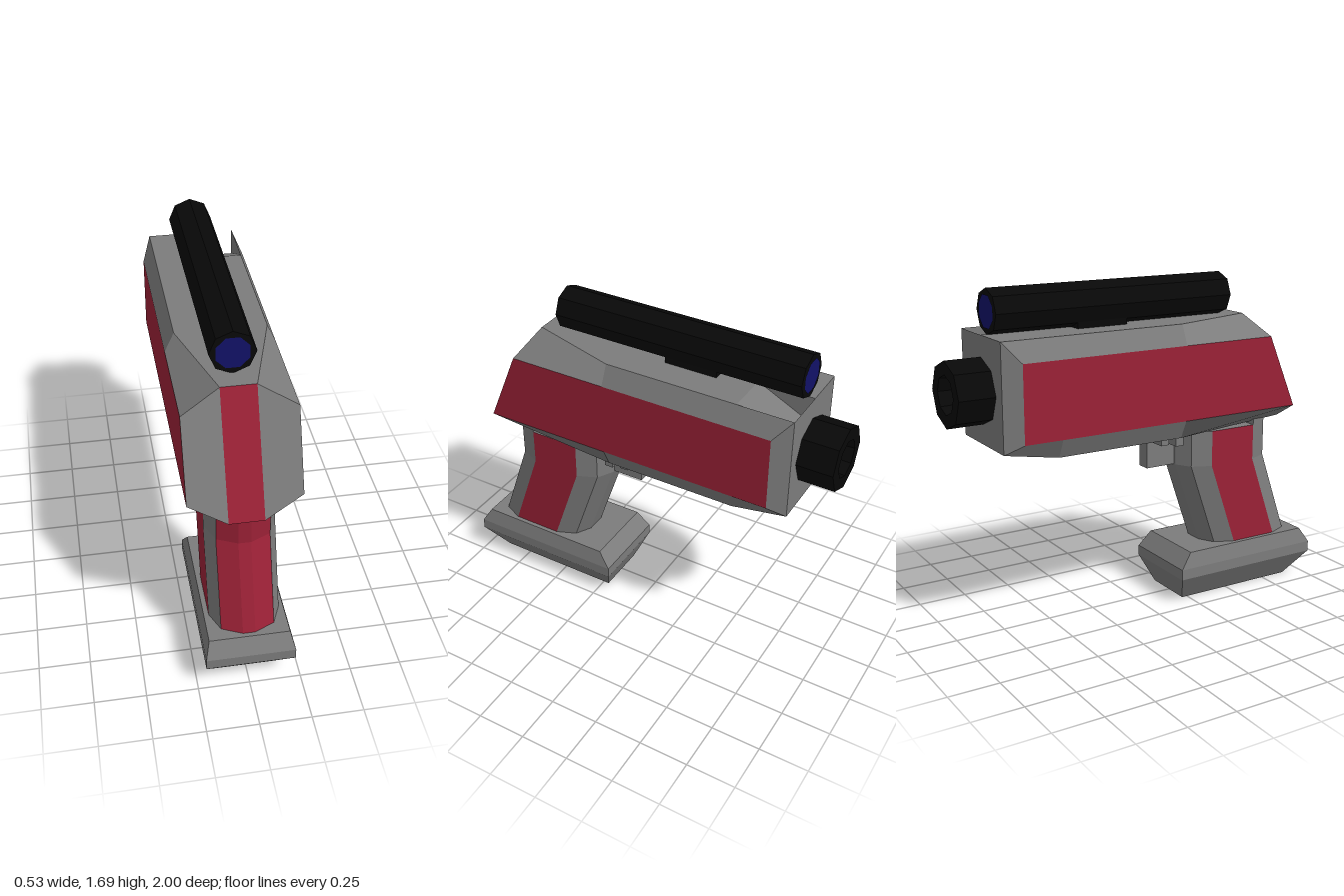
import * as THREE from 'three';

const mat = (color, flatShading = false) => new THREE.MeshStandardMaterial({ color, flatShading });

// Mesh from convex polygons with one normal each, turned to face away from the given centre
function facets(name, polys, material, center) {
  const pos = [], nor = [], c = new THREE.Vector3(...center);
  for (const poly of polys) {
    let p = poly.map((a) => new THREE.Vector3(...a));
    const n = new THREE.Vector3(), mid = new THREE.Vector3();
    p.forEach((v, i) => {
      mid.addScaledVector(v, 1 / p.length);
      n.add(v.clone().sub(p[0]).cross(p[(i + 1) % p.length].clone().sub(p[0])));
    });
    n.normalize();
    if (n.dot(mid.sub(c)) < 0) {
      n.negate();
      p = [p[0], ...p.slice(1).reverse()];
    }
    for (let i = 1; i < p.length - 1; i++) {
      for (const v of [p[0], p[i], p[i + 1]]) {
        pos.push(v.x, v.y, v.z);
        nor.push(n.x, n.y, n.z);
      }
    }
  }
  const g = new THREE.BufferGeometry();
  g.setAttribute('position', new THREE.Float32BufferAttribute(pos, 3));
  g.setAttribute('normal', new THREE.Float32BufferAttribute(nor, 3));
  const m = new THREE.Mesh(g, material);
  m.name = name;
  return m;
}

const flip = (p) => [-p[0], p[1], p[2]];
const both = (polys) => [...polys, ...polys.map((q) => q.map(flip))];
const across = (a, b) => [a, b, flip(b), flip(a)];

export function createModel() {
  const group = new THREE.Group();
  const grey = mat(0x7c7c7c), red = mat(0x9b2136), black = mat(0x080808, true), blue = mat(0x121268, true);

  const add = (name, geo, material, x, y, z) => {
    const m = new THREE.Mesh(geo, material);
    m.name = name;
    m.position.set(x, y, z);
    group.add(m);
  };

  // Body: half sections from rear to muzzle (top, upper side, lower side, bottom)
  const S = [
    [[0.083, 1.475, 0.6], [0.265, 1.375, 0.65], [0.265, 1, 0.81], [0.083, 0.905, 0.85]],
    [[0.22, 1.475, 0.14], [0.265, 1.375, 0.14], [0.265, 1, 0.14], [0.22, 0.905, 0.14]],
    [[0.22, 1.475, -0.54], [0.265, 1.375, -0.54], [0.265, 1, -0.54], [0.22, 0.905, -0.54]],
    [[0.22, 1.475, -0.82], [0.265, 1.375, -0.735], [0.265, 1, -0.735], [0.22, 0.955, -0.82]],
  ];
  const shell = [], sides = [], spans = [];
  for (let i = 0; i < 3; i++) {
    const a = S[i], b = S[i + 1];
    shell.push([a[0], a[1], b[1], b[0]], [a[2], a[3], b[3], b[2]]);
    sides.push([a[1], a[2], b[2], b[1]]);
    spans.push(across(a[3], b[3]));
    if (i < 2) spans.push(across(a[0], b[0]));
  }
  shell.push(S[0], S[3]);
  spans.push(across(S[3][0], S[3][3]));
  // Top front: flat on the right half, sloping port floor on the left half
  const topStrip = (x0, x1, y) => [[x0, 1.475, -0.54], [x1, 1.475, -0.54], [x1, y, -0.82], [x0, y, -0.82]];
  spans.push(topStrip(-0.22, 0, 1.475), topStrip(0, 0.22, 1.335));
  const mid = [0, 1.2, 0];
  group.add(facets('bodyShell', [...both(shell), ...spans], grey, mid));
  group.add(facets('bodySidePanels', both(sides), red, mid));
  group.add(facets('bodyRearStripe', [across(S[0][0], S[0][3])], red, mid));
  for (const [x, from] of [[0, -1], [0.22, 1]]) {
    const wall = [[x, 1.475, -0.54], [x, 1.475, -0.82], [x, 1.335, -0.82]];
    group.add(facets('portWall', [wall], grey, [from, 1.4, -0.7]));
  }

  // Barrel with an open bore
  const profile = [[0, 0], [0.16, 0], [0.16, 0.2], [0.095, 0.2], [0.085, 0.01], [0, 0.01]];
  const barrel = new THREE.LatheGeometry(profile.map((p) => new THREE.Vector2(...p)), 8);
  add('barrel', barrel.rotateX(-Math.PI / 2), black, 0.004, 1.213, -0.8);

  // Sight tube, lenses at both ends and mount
  add('sightTube', new THREE.CylinderGeometry(0.108, 0.108, 1.29, 8).rotateX(Math.PI / 2), black, -0.008, 1.58, -0.145);
  for (const s of [1, -1]) {
    const lens = new THREE.CircleGeometry(0.083, 8).rotateZ(Math.PI / 8);
    if (s < 0) lens.rotateY(Math.PI);
    add('sightLens', lens, blue, -0.008, 1.58, -0.145 + s * 0.648);
  }
  add('sightMount', new THREE.BoxGeometry(0.155, 0.07, 0.27), black, -0.008, 1.5, -0.225);

  // Grip: half outline from rear to front, carried through three levels
  const outline = [[0.03, 0.775], [0.128, 0.73], [0.172, 0.63], [0.172, 0.37], [0.13, 0.27], [0.05, 0.225]];
  const levels = [[0.895, 0], [0.71, 0], [0.25, 0.16]];
  const rings = levels.map(([y, dz]) => outline.map(([x, z]) => [x, y, z + dz]));
  const gripGrey = [], gripRed = [], gripSpan = [], rearSpan = [];
  for (let l = 0; l < 2; l++) {
    const a = rings[l], b = rings[l + 1];
    for (let k = 0; k < 5; k++) {
      (k === 0 || k === 2 ? gripRed : gripGrey).push([a[k], a[k + 1], b[k + 1], b[k]]);
    }
    rearSpan.push(across(a[0], b[0]));
    gripSpan.push(across(a[5], b[5]));
  }
  gripSpan.push([...rings[0], ...rings[0].map(flip).reverse()]);
  const gripMid = [0, 0.65, 0.53];
  const grip = new THREE.Group();
  grip.name = 'grip';
  grip.position.x = 0.007;
  grip.add(facets('gripFrame', [...both(gripGrey), ...gripSpan], grey, gripMid));
  grip.add(facets('gripPanels', [...both(gripRed), ...rearSpan], red, gripMid));

  // Posts joining the grip to the body
  for (const s of [1, -1]) {
    const lo = [[0.128, 0.73], [0.172, 0.63], [0.11, 0.63]].map(([x, z]) => [s * x, 0.89, z]);
    const hi = lo.map(([x, , z]) => [x, z > 0.7 ? 0.94 : 0.965, z]);
    const polys = lo.map((p, i) => [p, lo[(i + 1) % 3], hi[(i + 1) % 3], hi[i]]);
    grip.add(facets('gripPost', [...polys, hi], grey, [s * 0.137, 0.92, 0.66]));
  }
  group.add(grip);

  // Foot: rectangles stacked from the bottom up (y, half width, front z, rear z)
  const foot = [[0, 0.135, 0.22, 0.89], [0.135, 0.216, 0.165, 1], [0.19, 0.216, 0.165, 1], [0.27, 0.195, 0.23, 0.95]]
    .map(([y, w, f, r]) => [[w, y, r], [w, y, f], [-w, y, f], [-w, y, r]]);
  const footPolys = [foot[0], foot[3]];
  for (let l = 0; l < 3; l++) {
    for (let k = 0; k < 4; k++) {
      const n = (k + 1) % 4;
      footPolys.push([foot[l][k], foot[l][n], foot[l + 1][n], foot[l + 1][k]]);
    }
  }
  const footMesh = facets('gripFoot', footPolys, grey, [0, 0.15, 0.58]);
  footMesh.position.x = 0.006;
  group.add(footMesh);

  // Trigger blade and its two cross bars
  add('trigger', new THREE.BoxGeometry(0.07, 0.185, 0.19), grey, 0.007, 0.8025, 0.155);
  for (const [y, z] of [[0.885, 0.0825], [0.87, 0.17]]) {
    add('triggerBar', new THREE.BoxGeometry(0.34, 0.05, 0.045), grey, 0.007, y, z);
  }

  return group;
}
